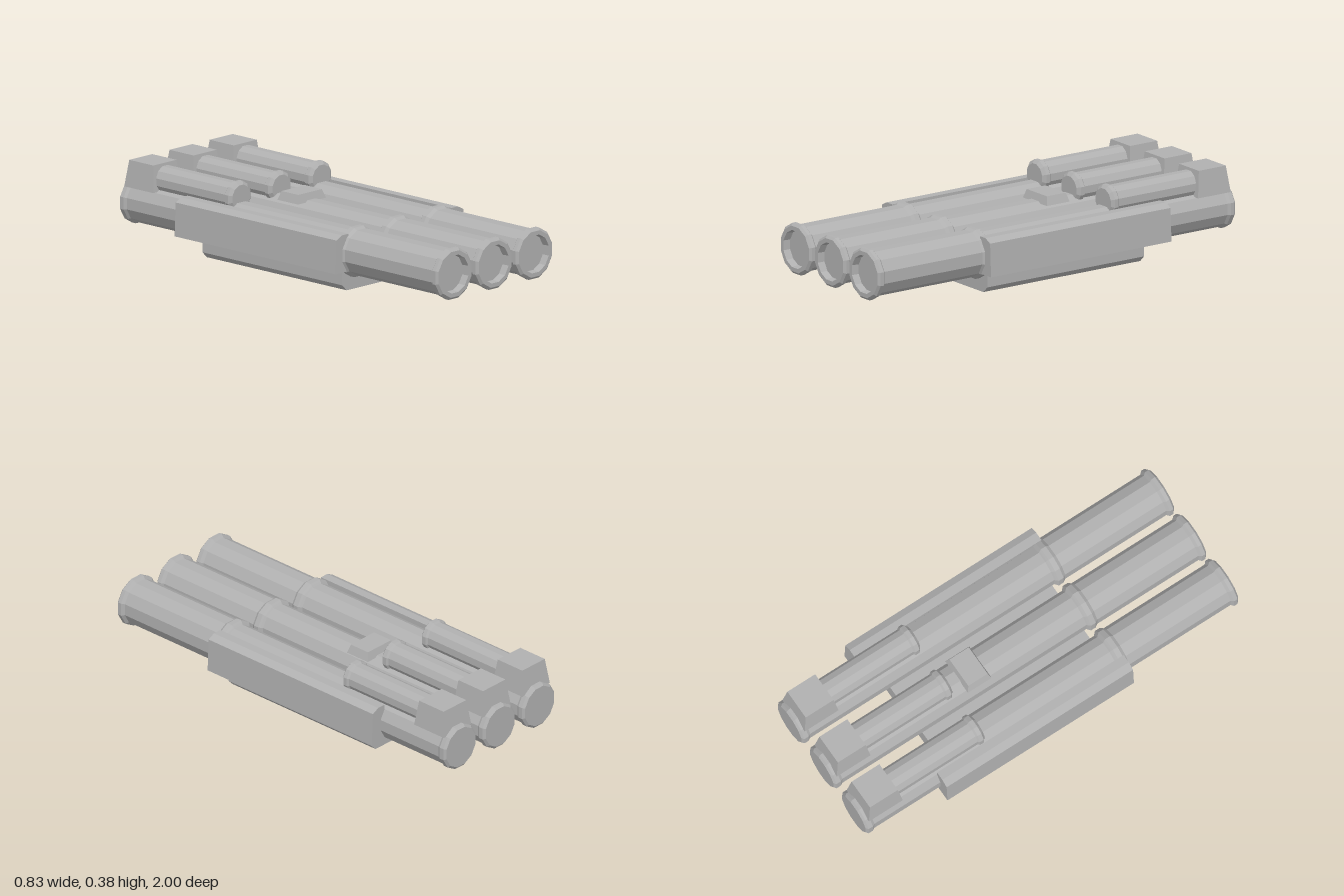
import * as THREE from 'three';

const SIDES = 12;
const FLAT = 1 / Math.cos(Math.PI / SIDES); // flat-to-flat half width -> corner radius

export function createModel() {
  const root = new THREE.Group();
  root.name = 'tripleTubeLauncher';
  const grey = new THREE.MeshStandardMaterial({ color: 0xb0b0b0 });
  grey.name = 'gunmetalGrey';
  grey.flatShading = true;

  const add = (parent, geometry, name, x = 0, y = 0, z = 0) => {
    const mesh = new THREE.Mesh(geometry, grey);
    mesh.name = name;
    mesh.position.set(x, y, z);
    parent.add(mesh);
    return mesh;
  };

  // Twelve-sided turned part along z; profile is [half width, z], back to front
  const turned = (profile) => {
    const pts = profile.map(([r, z]) => new THREE.Vector2(r * FLAT, z));
    return new THREE.LatheGeometry(pts, SIDES, Math.PI / SIDES).rotateX(Math.PI / 2);
  };

  // Cross-section in x/y pulled along z
  const pulled = (outline, z0, z1) => {
    const shape = new THREE.Shape(outline.map(([x, y]) => new THREE.Vector2(x, y)));
    return new THREE.ExtrudeGeometry(shape, { depth: z1 - z0, bevelEnabled: false }).translate(0, 0, z0);
  };

  // Box narrowed towards the top, standing on y = 0
  const tapered = (w, h, d, topW, topD) => {
    const g = new THREE.BoxGeometry(w, h, d).translate(0, h / 2, 0);
    const p = g.attributes.position;
    for (let i = 0; i < p.count; i++) {
      if (p.getY(i) > h / 2) {
        p.setX(i, p.getX(i) * topW / w);
        p.setZ(i, p.getZ(i) * topD / d);
      }
    }
    g.computeVertexNormals();
    return g;
  };

  // Main tube: rear cap, joint collar, muzzle rim and recessed mouth
  const tubeGeo = turned([
    [0, -1], [0.094, -1], [0.105, -0.99], [0.105, -0.968], [0.098, -0.955],
    [0.098, 0.36], [0.106, 0.367], [0.114, 0.375], [0.114, 0.4], [0.104, 0.415],
    [0.104, 0.96], [0.116, 0.972], [0.116, 0.99], [0.105, 1],
    [0.086, 1], [0.083, 0.965], [0, 0.965],
  ]);
  // Upper cylinder with a bevelled front collar
  const upperGeo = turned([
    [0, -0.82], [0.064, -0.82], [0.064, -0.376], [0.072, -0.368],
    [0.072, -0.348], [0.057, -0.335], [0, -0.335],
  ]);
  const blockGeo = tapered(0.18, 0.122, 0.182, 0.148, 0.15);

  for (const [i, side] of ['right', 'middle', 'left'].entries()) {
    const tube = new THREE.Group();
    tube.name = side + 'TubeAssembly';
    tube.position.x = (i - 1) * 0.258;
    root.add(tube);
    add(tube, tubeGeo, side + 'Tube', 0, 0.18, 0);
    add(tube, upperGeo, side + 'UpperCylinder', 0, 0.3, 0);
    add(tube, blockGeo, side + 'BreechBlock', 0, 0.255, -0.888);
  }

  // Small sight plate on the middle tube
  add(root, tapered(0.18, 0.04, 0.128, 0.152, 0.104), 'sightPlate', 0, 0.27, -0.209);

  // Side armour, mirrored
  const armour = [[0.33, 0.102], [0.414, 0.102], [0.407, 0.257], [0.372, 0.275], [0.33, 0.275]];
  add(root, pulled(armour, -0.6, 0.405), 'leftSideArmour');
  const mirrored = armour.map(([x, y]) => [-x, y]).reverse();
  add(root, pulled(mirrored, -0.6, 0.405), 'rightSideArmour');

  // Mounting base with chamfered lower edges
  const base = [
    [-0.296, 0], [0.296, 0], [0.325, 0.028], [0.325, 0.099],
    [-0.325, 0.099], [-0.325, 0.028],
  ];
  add(root, pulled(base, -0.513, 0.36), 'mountingBase');

  return root;
}
